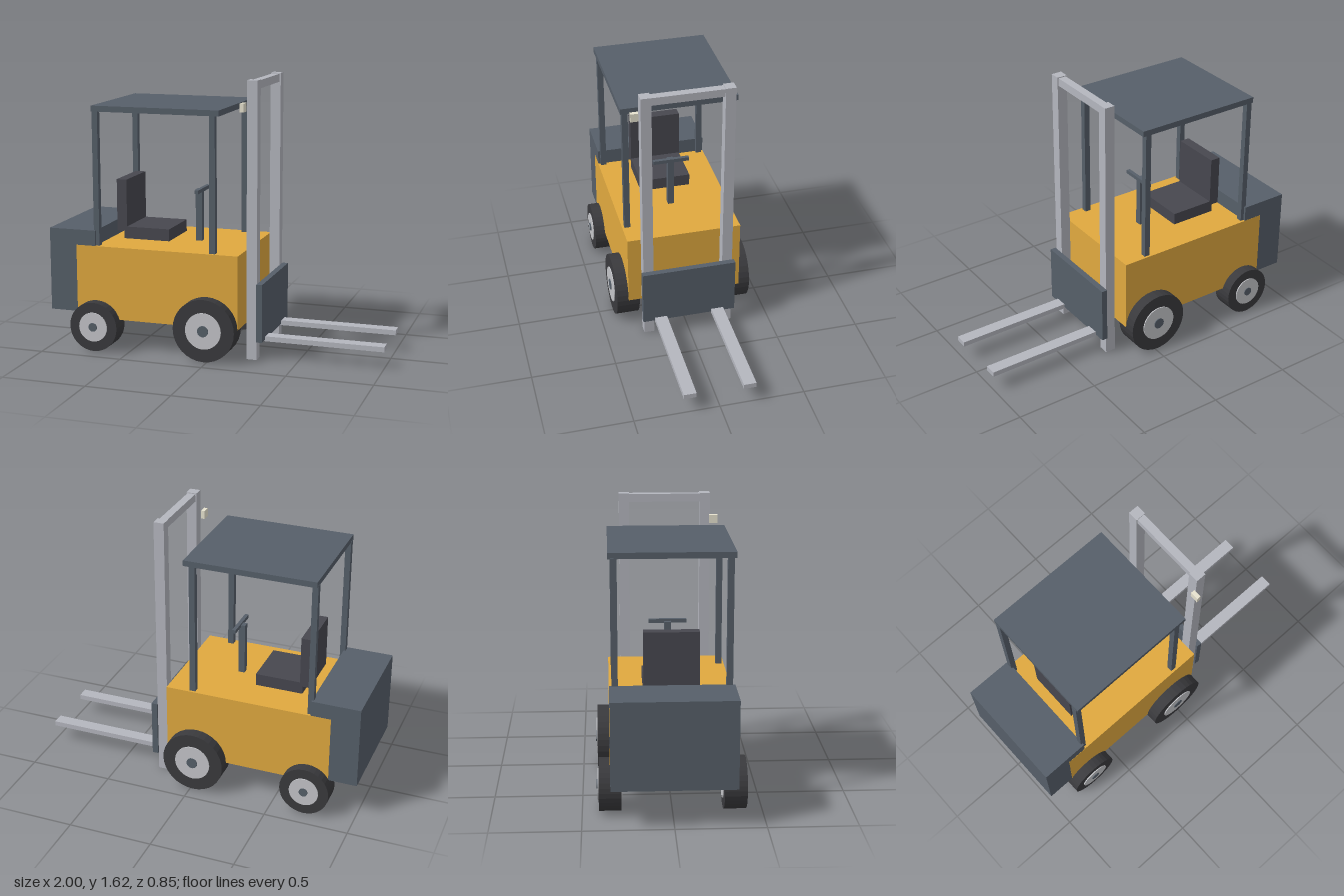
import * as THREE from 'three';

const material = (color) => new THREE.MeshStandardMaterial({ color, flatShading: true });

export function createModel() {
  const model = new THREE.Group();
  model.name = 'forklift';
  const yellow = material(0xe0a93f), slate = material(0x565f69), dark = material(0x47474f);
  const rubber = material(0x3a3a3d), steel = material(0xb4b6be), rim = material(0xc4c5c9);
  const cream = material(0xe6e2cf);

  // Box given by its extents along each axis
  const box = (name, mat, [x0, x1], [y0, y1], [z0, z1]) => {
    const mesh = new THREE.Mesh(new THREE.BoxGeometry(x1 - x0, y1 - y0, z1 - z0), mat);
    mesh.position.set((x0 + x1) / 2, (y0 + y1) / 2, (z0 + z1) / 2);
    mesh.name = name;
    model.add(mesh);
  };
  // Two boxes mirrored across the centre line
  const pair = (name, mat, x, y, [z0, z1]) => {
    box(name, mat, x, y, [z0, z1]);
    box(name, mat, x, y, [-z1, -z0]);
  };

  // Chassis and rear counterweight
  box('body', yellow, [-0.83, 0.17], [0.19, 0.628], [-0.345, 0.345]);
  box('counterweight', slate, [-1, -0.71], [0.222, 0.72], [-0.344, 0.344]);

  // Seat
  box('seatCushion', dark, [-0.6, -0.315], [0.643, 0.715], [-0.155, 0.155]);
  box('seatBack', dark, [-0.645, -0.583], [0.69, 1.0], [-0.155, 0.155]);

  // Steering
  box('steeringColumn', slate, [-0.195, -0.156], [0.62, 0.94], [-0.019, 0.019]);
  box('steeringBar', slate, [-0.17, -0.148], [0.928, 0.95], [-0.11, 0.11]);

  // Overhead guard
  box('roof', slate, [-0.72, 0.057], [1.424, 1.458], [-0.345, 0.345]);
  pair('rearPost', slate, [-0.722, -0.688], [0.62, 1.43], [0.296, 0.331]);
  pair('frontPost', slate, [-0.006, 0.029], [0.62, 1.43], [0.296, 0.331]);

  // Mast, carriage and forks
  pair('mastRail', steel, [0.2, 0.262], [0, 1.625], [0.21, 0.271]);
  box('mastCrossbar', steel, [0.207, 0.255], [1.573, 1.62], [-0.215, 0.215]);
  box('carriage', slate, [0.262, 0.297], [0.11, 0.455], [-0.283, 0.283]);
  pair('fork', steel, [0.28, 1], [0.1, 0.13], [0.138, 0.212]);
  box('lamp', cream, [0.17, 0.194], [1.448, 1.498], [0.265, 0.315]);

  // Wheels: tyre, rim and axle cap, each a little longer than the last
  const addWheel = (name, x, z, radius, rimRadius, capRadius, width) => {
    const wheel = new THREE.Group();
    wheel.name = name;
    [['tyre', rubber, radius, 0], ['rim', rim, rimRadius, 0.012], ['axleCap', slate, capRadius, 0.022]]
      .forEach(([part, mat, r, extra]) => {
        const mesh = new THREE.Mesh(new THREE.CylinderGeometry(r, r, width + extra, 32), mat);
        mesh.rotation.x = Math.PI / 2;
        mesh.name = part;
        wheel.add(mesh);
      });
    wheel.position.set(x, radius + 0.003, z);
    model.add(wheel);
  };
  for (const side of [-1, 1]) {
    addWheel('frontWheel', -0.017, side * 0.345, 0.186, 0.108, 0.033, 0.137);
    addWheel('rearWheel', -0.705, side * 0.345, 0.148, 0.088, 0.026, 0.125);
  }

  return model;
}
